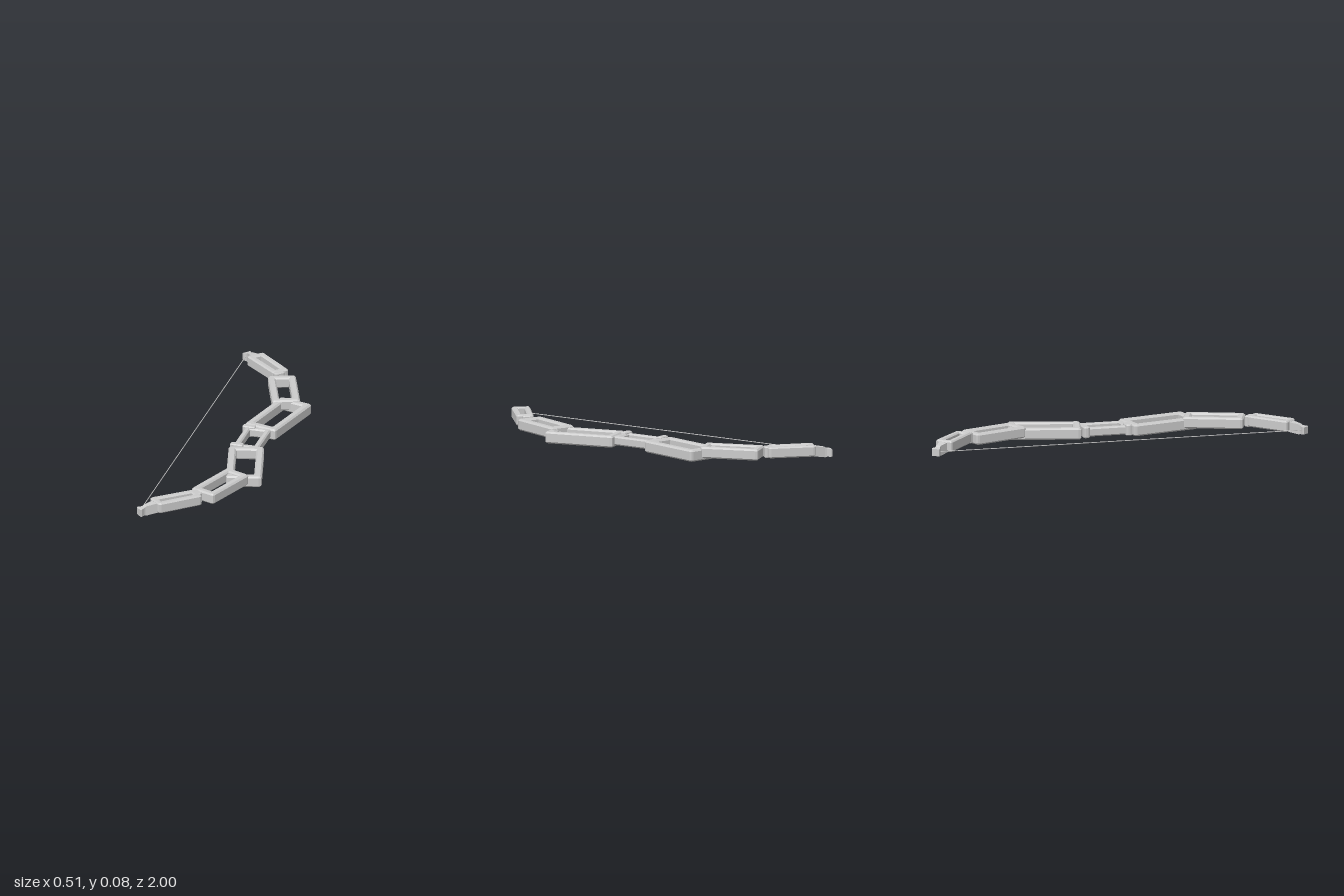
import * as THREE from 'three';

const grey = new THREE.MeshStandardMaterial({ color: 0xcccccc });
grey.name = 'grey metal';

// Moves each corner of a near-rectangular quad inward by d
function inset(pts, d) {
  return pts.map((p, i) => {
    const a = pts[(i + 1) % 4].clone().sub(p).normalize();
    const b = pts[(i + 3) % 4].clone().sub(p).normalize();
    return p.clone().addScaledVector(a, d).addScaledVector(b, d);
  });
}

// Quad outline with softened corners
function softQuad(pts, r) {
  const shape = new THREE.Shape();
  pts.forEach((p, i) => {
    const before = pts[(i + 3) % 4].clone().sub(p).setLength(r).add(p);
    const after = pts[(i + 1) % 4].clone().sub(p).setLength(r).add(p);
    if (i === 0) shape.moveTo(before.x, before.y);
    else shape.lineTo(before.x, before.y);
    shape.quadraticCurveTo(p.x, p.y, after.x, after.y);
  });
  shape.closePath();
  return shape;
}

// Bevelled flat slab or open link, with anticlockwise corners given as [x, z]
function plate(name, corners, y0, y1, bevel, bar = 0) {
  const pts = corners.map(([x, z]) => new THREE.Vector2(x, z));
  const shape = softQuad(inset(pts, bevel), 0.008);
  if (bar) shape.holes.push(new THREE.Path(inset(pts, bar - bevel)));
  const geo = new THREE.ExtrudeGeometry(shape, {
    depth: y1 - y0 - 2 * bevel, bevelEnabled: true, curveSegments: 2,
    bevelSize: bevel, bevelThickness: bevel, bevelSegments: 1,
  });
  geo.rotateX(Math.PI / 2).translate(0, y1 - bevel, 0);
  const mesh = new THREE.Mesh(geo, grey);
  mesh.name = name;
  return mesh;
}

const rect = (x0, x1, z0, z1) => [[x0, z0], [x1, z0], [x1, z1], [x0, z1]];

// Tapered nock: box sections [along, half width, bottom, top] joined into a solid
function nock(side) {
  const sections = [
    [0, 0.026, 0.021, 0.073], [0.072, 0.013, 0.01, 0.062],
    [0.082, 0.013, 0.013, 0.055], [0.1, 0.022, 0.013, 0.053], [0.108, 0.021, 0.014, 0.051],
  ];
  const dir = new THREE.Vector2(-0.74, 0.67);
  const pos = [], idx = [];
  for (const [t, w, y0, y1] of sections) {
    for (const [s, y] of [[-1, y0], [1, y0], [1, y1], [-1, y1]]) {
      pos.push(-0.165 + dir.x * t + dir.y * w * s, y, side * (0.912 + dir.y * t - dir.x * w * s));
    }
  }
  const quad = (a, b, c, d) => side > 0
    ? idx.push(a, b, c, a, c, d) : idx.push(a, c, b, a, d, c);
  for (let i = 0; i < sections.length - 1; i++) {
    for (let j = 0; j < 4; j++) {
      const k = (j + 1) % 4, o = i * 4;
      quad(o + j, o + k, o + 4 + k, o + 4 + j);
    }
  }
  const e = (sections.length - 1) * 4;
  quad(3, 2, 1, 0);
  quad(e, e + 1, e + 2, e + 3);
  let geo = new THREE.BufferGeometry();
  geo.setAttribute('position', new THREE.Float32BufferAttribute(pos, 3));
  geo.setIndex(idx);
  geo = geo.toNonIndexed();
  geo.computeVertexNormals();
  const mesh = new THREE.Mesh(geo, grey);
  mesh.name = 'nock';
  return mesh;
}

export function createModel() {
  const bow = new THREE.Group();
  bow.name = 'bow';

  // Grip frame in the middle
  bow.add(plate('grip', rect(0.005, 0.14, -0.12, 0.12), 0.01, 0.056, 0.007, 0.03));

  for (const side of [1, -1]) {
    const limb = new THREE.Group();
    limb.name = side > 0 ? 'frontLimb' : 'backLimb';
    // Mirrored corners are reversed to stay anticlockwise
    const m = (pts) => side > 0 ? pts : pts.map(([x, z]) => [x, -z]).reverse();

    // Collar between grip and limb
    limb.add(plate('gripCollar', m(rect(-0.01, 0.06, 0.095, 0.13)), 0.006, 0.064, 0.005));
    // Three links, each stepping a little higher
    limb.add(plate('innerLink',
      m([[-0.01, 0.142], [0.167, 0.1], [0.258, 0.462], [0.08, 0.505]]), 0, 0.06, 0.008, 0.04));
    limb.add(plate('middleLink',
      m([[0.061, 0.413], [0.194, 0.467], [0.085, 0.756], [-0.048, 0.705]]), 0.012, 0.07, 0.008, 0.038));
    limb.add(plate('outerLink',
      m([[-0.025, 0.73], [0.04, 0.792], [-0.145, 0.957], [-0.216, 0.89]]), 0.021, 0.078, 0.007, 0.032));
    // Knuckle joining the middle and outer links
    limb.add(plate('knuckle',
      m([[-0.012, 0.718], [0.03, 0.76], [0.01, 0.782], [-0.032, 0.74]]), 0.018, 0.076, 0.005));
    limb.add(nock(side));
    bow.add(limb);
  }

  // Bowstring
  const string = new THREE.Mesh(new THREE.CylinderGeometry(0.0022, 0.0022, 1.94, 6), grey);
  string.name = 'bowstring';
  string.rotation.x = Math.PI / 2;
  string.position.set(-0.242, 0.035, 0);
  bow.add(string);

  return bow;
}
